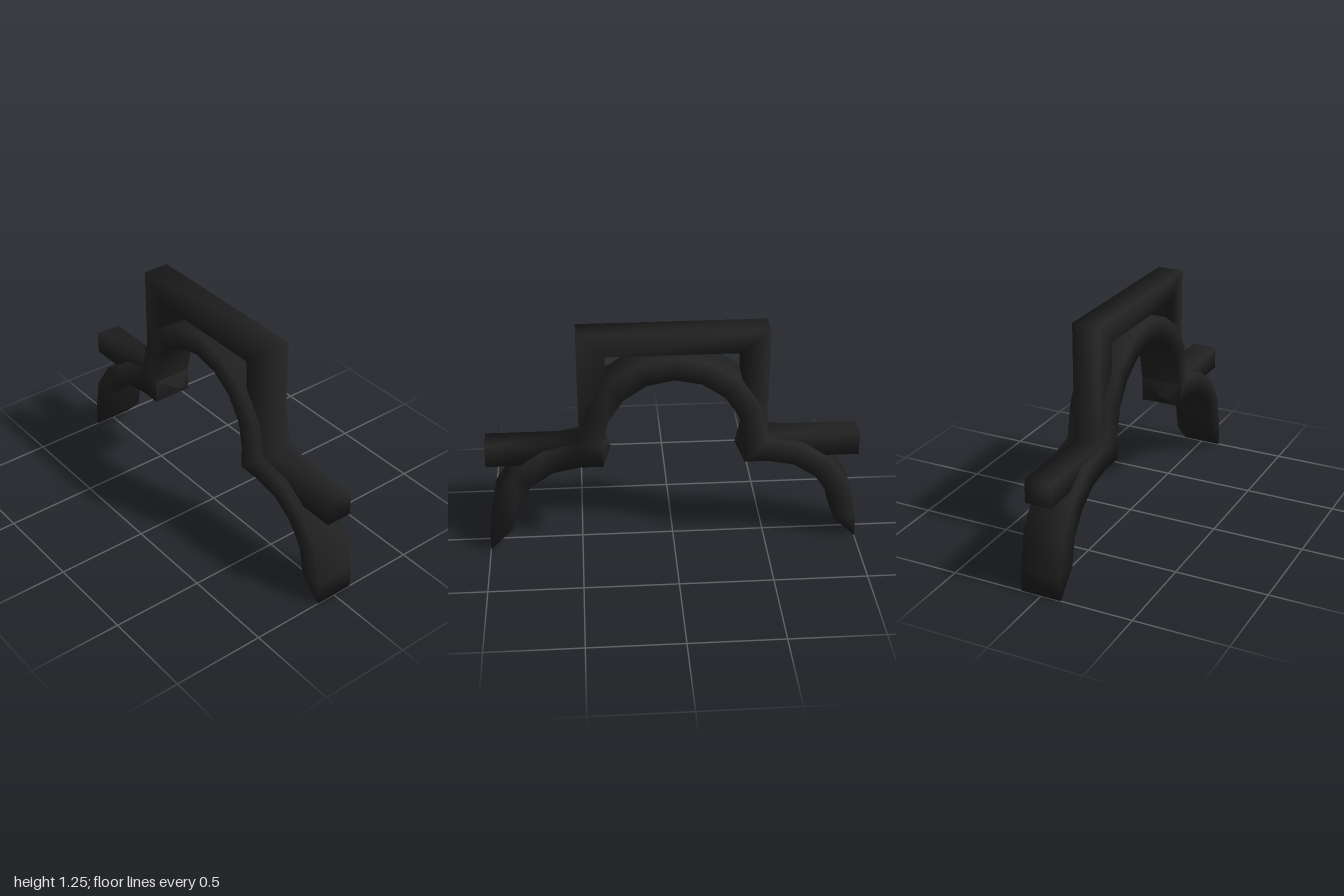
import * as THREE from 'three';
import { mergeVertices } from 'three/addons/utils/BufferGeometryUtils.js';

// Sweeps a rectangular section along pairs of [upperX, upperY, lowerX, lowerY], softly shaded.
function sweep(pairs, halfDepth) {
  const pos = [], index = [], d = halfDepth;
  pairs.forEach(([ux, uy, lx, ly]) => pos.push(ux, uy, d, ux, uy, -d, lx, ly, -d, lx, ly, d));
  for (let i = 0; i < pairs.length - 1; i++) {
    for (let j = 0; j < 4; j++) {
      const k = (j + 1) % 4, a = i * 4 + j, b = a + 4, c = i * 4 + 4 + k, e = i * 4 + k;
      index.push(a, b, c, a, c, e);
    }
  }
  const n = (pairs.length - 1) * 4;
  index.push(0, 1, 2, 0, 2, 3, n, n + 2, n + 1, n, n + 3, n + 2);
  const g = new THREE.BufferGeometry();
  g.setAttribute('position', new THREE.Float32BufferAttribute(pos, 3));
  g.setIndex(index);
  const welded = mergeVertices(g);
  welded.computeVertexNormals();
  return welded;
}

// Completes a left half with its reflection.
function mirror(half) {
  return [...half, ...half.map(([a, b, c, e]) => [-a, b, -c, e]).reverse()];
}

// Quarter arc from the left side to the top, four segments.
function quarterArc(cx, cy, steps) {
  const out = [];
  for (let i = 0; i <= steps; i++) {
    const t = Math.PI - (i * Math.PI) / 8;
    const c = Math.cos(t), s = Math.sin(t);
    out.push([cx + 0.5 * c, cy + 0.5 * s, cx + 0.375 * c, cy + 0.375 * s]);
  }
  return out;
}

export function createModel() {
  const black = new THREE.MeshStandardMaterial({ color: 0x222222 });
  black.name = 'black';
  const group = new THREE.Group();
  const add = (name, geometry) => {
    const mesh = new THREE.Mesh(geometry, black);
    mesh.name = name;
    group.add(mesh);
    return mesh;
  };

  // Curved band: pointed leg, leg arc, mitred corner and central arch
  const bandHalf = [
    [-1, 0, -0.875, 0.125],
    ...quarterArc(-0.5, 0.125, 4),
    [-0.5, 0.625, -0.375, 0.5],
    ...quarterArc(0, 0.625, 4),
  ];
  add('archBand', sweep(mirror(bandHalf.slice(0, -1)).toSpliced(bandHalf.length - 1, 0, bandHalf.at(-1)), 0.11));

  // Straight frame: side beams, posts and top beam
  add('squareFrame', sweep(mirror([
    [-1, 0.625, -1, 0.5],
    [-0.5, 0.625, -0.38, 0.505],
    [-0.5, 1.25, -0.354, 1.125],
  ]), 0.072));

  // Shallow points on the inner corners
  for (const side of [-1, 1]) {
    const point = new THREE.ConeGeometry(Math.SQRT1_2, 0.042, 4);
    point.rotateY(Math.PI / 4).rotateZ((side * Math.PI) / 2).scale(1, 0.13, 0.216);
    add(side > 0 ? 'leftCornerPoint' : 'rightCornerPoint', point).position.set(side * 0.354, 0.567, 0);
  }
  return group;
}
